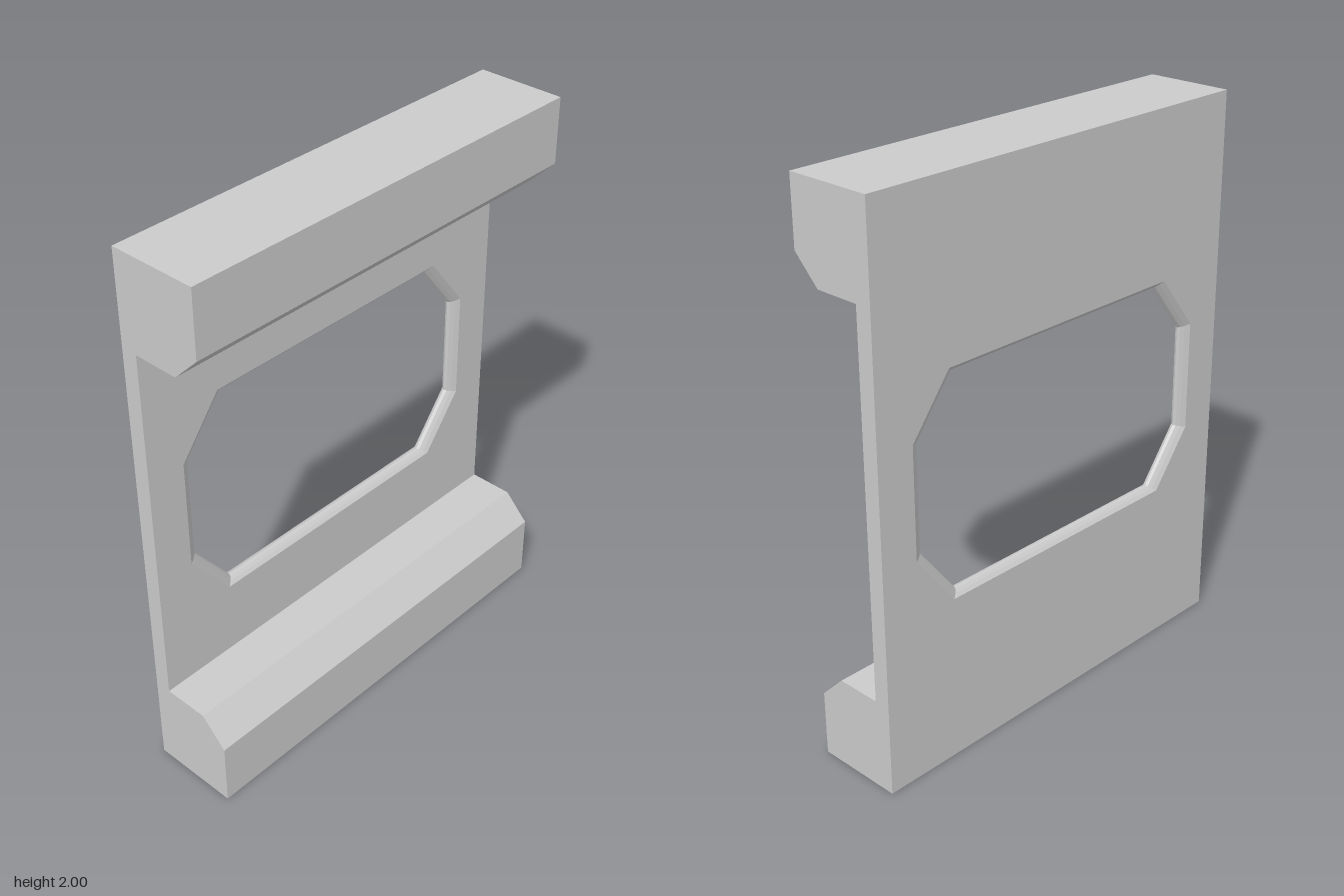
import * as THREE from 'three';

const WIDTH = 1.6, BACK = -0.16, FRONT = 0.16, WEB = -0.1;
const FLANGE = 0.33;   // height of each thick rail
const CENTRE = 1.0;    // height of the window centre

// Window outline around its own centre, counter-clockwise
const windowOutline = [
  [0.66, -0.2], [0.66, 0.2], [0.505, 0.4], [-0.505, 0.4],
  [-0.66, 0.2], [-0.66, -0.2], [-0.505, -0.4], [0.505, -0.4],
].map(([x, y]) => new THREE.Vector2(x, y));

// Chamfered rail, its section drawn in (-z, y) and swept along x
function railGeometry(top) {
  const section = [
    [BACK, 0], [FRONT, 0], [FRONT, 0.235], [0.065, FLANGE], [BACK, FLANGE],
  ].map(([z, y]) => new THREE.Vector2(-z, top ? 2 - y : y));
  const geometry = new THREE.ExtrudeGeometry(new THREE.Shape(section), { depth: WIDTH, bevelEnabled: false });
  return geometry.translate(0, 0, -WIDTH / 2).rotateY(Math.PI / 2);
}

// Thin plate between the rails, with the window cut out
function plateGeometry() {
  const w = WIDTH / 2, h = CENTRE - FLANGE;
  const shape = new THREE.Shape([[-w, -h], [w, -h], [w, h], [-w, h]].map(([x, y]) => new THREE.Vector2(x, y)));
  shape.holes.push(new THREE.Path(windowOutline.slice().reverse()));
  return new THREE.ExtrudeGeometry(shape, { depth: WEB - BACK, bevelEnabled: false }).translate(0, CENTRE, BACK);
}

// Window lip: the outline narrows towards mid-thickness, then widens again
function lipGeometry() {
  const steps = 6, n = windowOutline.length, positions = [], index = [];
  for (let k = 0; k <= steps; k++) {
    const t = k / steps;
    const scale = 1 - 0.055 * Math.sin(Math.PI * t);
    for (const p of windowOutline) {
      positions.push(p.x * scale, CENTRE + p.y * scale, BACK + (WEB - BACK) * t);
    }
  }
  for (let k = 0; k < steps; k++) {
    for (let i = 0; i < n; i++) {
      const a = k * n + i, b = k * n + (i + 1) % n;
      index.push(a, b + n, b, a, a + n, b + n);
    }
  }
  const geometry = new THREE.BufferGeometry();
  geometry.setAttribute('position', new THREE.Float32BufferAttribute(positions, 3));
  geometry.setIndex(index);
  const flat = geometry.toNonIndexed();
  flat.computeVertexNormals();
  return flat;
}

export function createModel() {
  const group = new THREE.Group();
  group.name = 'windowPanel';
  const material = new THREE.MeshStandardMaterial({ color: 0xcccccc, flatShading: true });
  const add = (name, geometry) => {
    const mesh = new THREE.Mesh(geometry, material);
    mesh.name = name;
    group.add(mesh);
  };
  add('bottomRail', railGeometry(false));
  add('topRail', railGeometry(true));
  add('plate', plateGeometry());
  add('windowLip', lipGeometry());
  return group;
}
